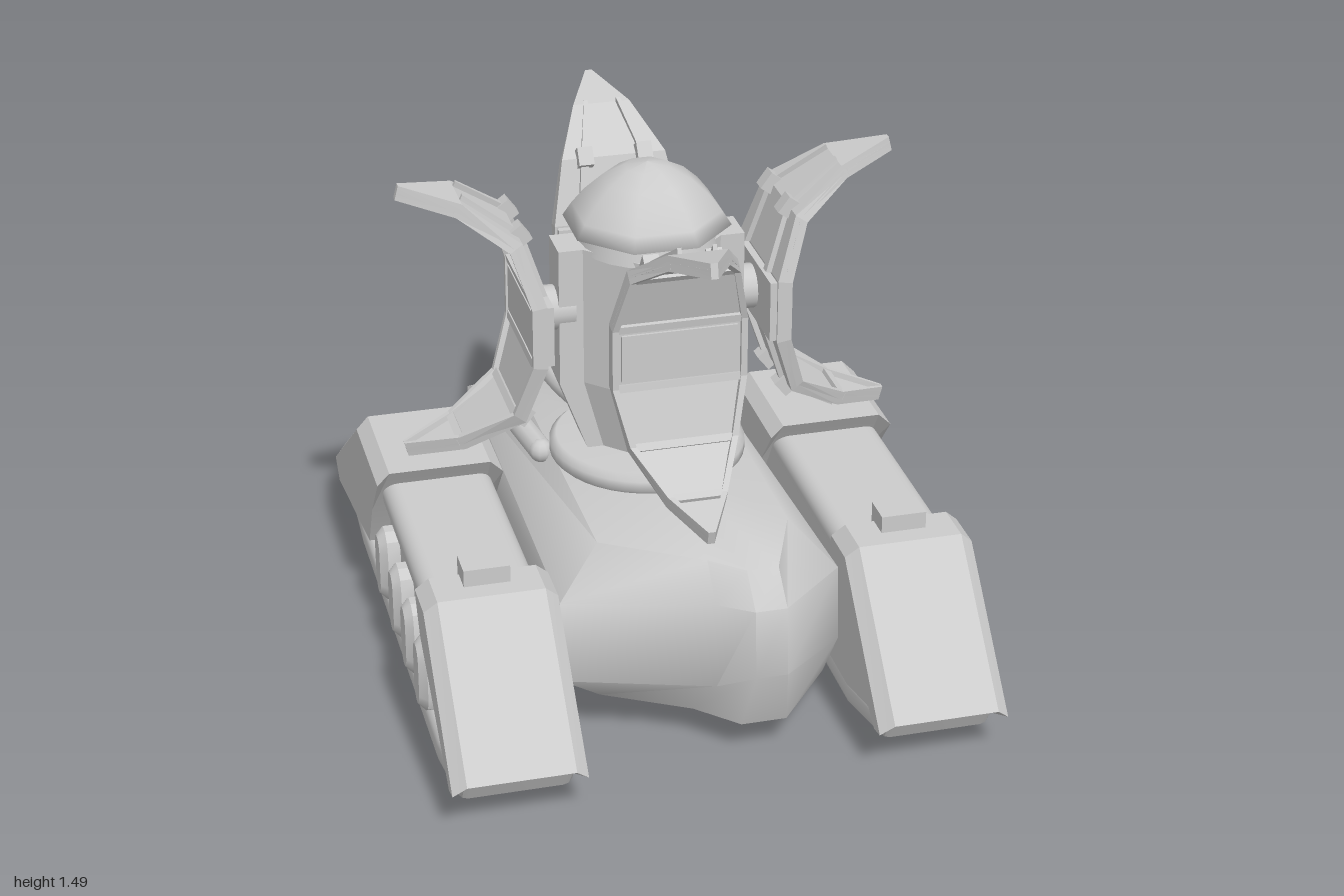
import * as THREE from 'three';
import { toCreasedNormals, mergeVertices } from 'three/addons/utils/BufferGeometryUtils.js';
import { RoundedBoxGeometry } from 'three/addons/geometries/RoundedBoxGeometry.js';

const mat = new THREE.MeshStandardMaterial({ color: 0xcccccc });

function add(parent, name, geo, x = 0, y = 0, z = 0) {
  const m = new THREE.Mesh(geo, mat);
  m.name = name;
  m.position.set(x, y, z);
  parent.add(m);
  return m;
}

// Closed loft through rings of [x, y, z] corners, turned outwards by its signed volume.
function loft(rings, crease = 0.4) {
  const n = rings[0].length, pos = rings.flat(2), idx = [];
  rings.slice(1).forEach((_, i) => {
    for (let j = 0; j < n; j++) {
      const a = i * n + j, b = i * n + (j + 1) % n;
      idx.push(a, b, b + n, a, b + n, a + n);
    }
  });
  const cap = (k, flip) => {
    const c = pos.length / 3, ring = rings[k];
    for (let d = 0; d < 3; d++) pos.push(ring.reduce((s, p) => s + p[d], 0) / n);
    for (let j = 0; j < n; j++) {
      const a = k * n + j, b = k * n + (j + 1) % n;
      idx.push(c, flip ? b : a, flip ? a : b);
    }
  };
  cap(0, true);
  cap(rings.length - 1, false);
  const v = i => new THREE.Vector3(pos[3 * i], pos[3 * i + 1], pos[3 * i + 2]);
  let volume = 0;
  for (let i = 0; i < idx.length; i += 3) volume += v(idx[i]).dot(v(idx[i + 1]).cross(v(idx[i + 2])));
  if (volume < 0) idx.reverse();
  const g = new THREE.BufferGeometry();
  g.setAttribute('position', new THREE.Float32BufferAttribute(pos, 3));
  g.setIndex(idx);
  return toCreasedNormals(g, crease);
}

// Side profile of [z, y] points extruded across x, centred on x = 0, with bevelled edges.
function slab(profile, width, bevel, segments = 1) {
  const shape = new THREE.Shape(profile.map(([z, y]) => new THREE.Vector2(-z, y)));
  const g = new THREE.ExtrudeGeometry(shape, {
    depth: width - 2 * bevel, bevelSize: bevel, bevelThickness: bevel, bevelOffset: -bevel, bevelSegments: segments,
  });
  g.translate(0, 0, bevel - width / 2).rotateY(Math.PI / 2);
  g.deleteAttribute('normal');
  g.deleteAttribute('uv');
  return toCreasedNormals(mergeVertices(g), 0.6);
}

// Track guard whose upper edges alone are chamfered
function guard(top, bottom) {
  const full = [...top, ...bottom];
  const chamfered = [...top.map(([z, y]) => [z * 0.98, y - 0.035]), ...bottom];
  return loft([[-0.187, chamfered], [-0.15, full], [0.15, full], [0.187, chamfered]]
    .map(([x, ring]) => ring.map(([z, y]) => [x, y, z])), 0.2);
}

// Track unit on side s (+1 left, -1 right)
function buildTrack(s) {
  const t = new THREE.Group();
  t.name = s > 0 ? 'leftTrack' : 'rightTrack';
  const x = s * 0.597;
  add(t, 'belt', slab([[0.96, 0.17], [0.91, 0.08], [0.62, 0.003], [-0.6, 0.003], [-0.87, 0.07], [-0.95, 0.17],
    [-0.84, 0.15], [-0.6, 0.1], [0.62, 0.1], [0.84, 0.15]], 0.325, 0.03, 3), x);
  add(t, 'sideWall', slab([[0.92, 0.14], [0.6, 0.06], [-0.6, 0.06], [-0.9, 0.14], [-0.4, 0.45], [0.58, 0.45]], 0.29, 0.01), s * 0.58);
  add(t, 'topRoll', new RoundedBoxGeometry(0.325, 0.1, 0.8, 4, 0.045), x, 0.435, 0.2);
  add(t, 'frontGuard', guard([[1, 0.175], [0.64, 0.54], [0.51, 0.54]], [[0.5, 0.49], [0.56, 0.39], [0.93, 0.13]]), x);
  add(t, 'rearGuard', guard([[-0.1, 0.54], [-0.47, 0.54], [-0.975, 0.185]], [[-0.89, 0.1], [-0.3, 0.21], [-0.22, 0.36]]), x);
  add(t, 'guardBlock', new THREE.BoxGeometry(0.13, 0.09, 0.09), x, 0.545, 0.535);
  // Long round-ended pods along the outer wall
  const outline = [];
  for (let i = 0; i < 12; i++) {
    const a = Math.PI * (i % 6) / 5, up = i < 6 ? 1 : -1;
    outline.push([up * 0.06 * Math.cos(a), 0.215 + up * (0.058 + 0.06 * Math.sin(a))]);
  }
  const pod = slab(outline, 0.1, 0.022);
  for (const z of [0.47, 0.27, 0.07, -0.15]) add(t, 'sidePod', pod, s * 0.735, 0, z);
  return t;
}

// Petal shield: [reach, height, half width] sections from lower tip to upper tip
const sections = [[0.71, 0.67, 0.01], [0.56, 0.71, 0.085], [0.405, 0.805, 0.155], [0.35, 0.975, 0.192],
  [0.35, 1.16, 0.192], [0.405, 1.335, 0.155], [0.55, 1.435, 0.085], [0.71, 1.475, 0.01]];
const normals = sections.map((_, i) => {
  const a = sections[Math.max(i - 1, 0)], b = sections[Math.min(i + 1, 7)];
  const l = Math.hypot(b[0] - a[0], b[1] - a[1]);
  return [(b[1] - a[1]) / l, -(b[0] - a[0]) / l];
});

// Strip along the petal: span(w) gives its lateral range, d0..d1 its depth
function strip(from, to, span, d0, d1) {
  const rings = [];
  for (let i = from; i <= to; i++) {
    const [r, y, w] = sections[i], [nr, ny] = normals[i], [a, b] = span(w);
    rings.push([[a, d0], [b, d0], [b, d1], [a, d1]].map(([z, d]) => [r + nr * d, y + ny * d, z]));
  }
  return loft(rings, 0.15);
}

function buildPetal() {
  const p = new THREE.Group();
  p.name = 'petalShield';
  add(p, 'plate', strip(0, 7, w => [-w, w], -0.018, 0.008));
  for (const s of [1, -1]) {
    add(p, 'rim', strip(0, 7, w => [s * Math.max(w - 0.018, 0), s * w], 0, 0.025));
    for (const [a, b] of [[1, 3], [4, 6]]) {
      add(p, 'backRib', strip(a, b, w => [s * w * 0.5, s * w * 0.64], -0.034, -0.01));
    }
  }
  for (let i = 1; i < 7; i++) {
    const [r, y, w] = sections[i], [nr, ny] = normals[i];
    const angle = Math.atan2(ny, nr);
    add(p, 'crossBar', new THREE.BoxGeometry(0.024, 0.022, 2 * w - 0.01), r + nr * 0.01, y + ny * 0.01).rotation.z = angle;
    if (i === 2 || i === 5) {
      for (const s of [1, -1]) {
        add(p, 'hinge', new THREE.BoxGeometry(0.05, 0.055, 0.045), r - nr * 0.02, y - ny * 0.02, s * w * 0.57).rotation.z = angle;
      }
    }
  }
  add(p, 'centreBlock', new THREE.BoxGeometry(0.05, 0.18, 0.37), 0.337, 1.0675);
  add(p, 'centrePanel', new THREE.BoxGeometry(0.02, 0.14, 0.33), 0.36, 1.0675);
  add(p, 'arm', new THREE.CylinderGeometry(0.065, 0.065, 0.12, 16).rotateZ(Math.PI / 2), 0.28, 1.07);
  return p;
}

// Hull with an offset nose, lofted upwards
function buildHull(parent) {
  const rings = [
    [[0.07, 0.11, 0.79], [0.2, 0.11, 0.79], [0.37, 0.11, 0.58], [0.34, 0.11, -0.74], [0.2, 0.14, -0.84],
      [-0.2, 0.14, -0.84], [-0.34, 0.11, -0.74], [-0.28, 0.12, 0.56], [-0.04, 0.11, 0.68]],
    [[0.09, 0.3, 0.86], [0.18, 0.3, 0.86], [0.4, 0.24, 0.62], [0.38, 0.24, -0.84], [0.22, 0.28, -0.95],
      [-0.22, 0.28, -0.95], [-0.38, 0.24, -0.84], [-0.4, 0.22, 0.62], [0, 0.24, 0.78]],
    [[0.09, 0.5, 0.84], [0.18, 0.5, 0.84], [0.4, 0.46, 0.6], [0.37, 0.41, -0.84], [0.2, 0.38, -0.94],
      [-0.2, 0.38, -0.94], [-0.37, 0.41, -0.84], [-0.4, 0.46, 0.6], [0, 0.49, 0.76]],
    [[0.09, 0.58, 0.75], [0.18, 0.58, 0.75], [0.28, 0.58, 0.5], [0.28, 0.58, -0.5], [0.2, 0.57, -0.58],
      [-0.2, 0.57, -0.58], [-0.28, 0.58, -0.5], [-0.27, 0.58, 0.5], [0, 0.58, 0.67]],
  ];
  add(parent, 'hull', loft(rings, 0.9));
  // Raised plate on the sloping rear deck
  const plate = d => [[0.25, 0.56 + d, -0.5], [0.33, 0.46 + d, -0.74], [0.19, 0.4 + d, -0.91],
    [-0.19, 0.4 + d, -0.91], [-0.33, 0.46 + d, -0.74], [-0.25, 0.56 + d, -0.5]];
  add(parent, 'rearDeckPlate', loft([plate(-0.03), plate(0.02)]));
}

function buildTurret() {
  const t = new THREE.Group();
  t.name = 'turret';
  add(t, 'turretRing', new THREE.LatheGeometry([[0.2, 0.56], [0.265, 0.57], [0.285, 0.59], [0.285, 0.62], [0.265, 0.638], [0, 0.638]]
    .map(p => new THREE.Vector2(...p)), 40));
  // Tower with four ribs behind the petals and diagonal faces between them
  const section = (y, reach, core) => {
    const quarter = [[reach, -0.06], [reach, 0.06], [core, 0.06]];
    return [0, 1, 2, 3].flatMap(k => quarter.map(([x, z]) => {
      const c = [1, 0, -1, 0][k], s = [0, 1, 0, -1][k];
      return [c * x - s * z, y, s * x + c * z];
    }).concat([[[0.06, core], [-core, 0.06], [-0.06, -core], [core, -0.06]][k]].map(([x, z]) => [x, y, z])));
  };
  add(t, 'tower', loft([section(0.62, 0.185, 0.14), section(0.85, 0.27, 0.2), section(1.265, 0.27, 0.2)], 0.1));
  add(t, 'neck', new THREE.CylinderGeometry(0.18, 0.2, 0.08, 24), 0, 1.29);
  // Eight-sided cap with flats towards the petals
  add(t, 'dome', new THREE.LatheGeometry([[0, 1.3], [0.2, 1.3], [0.241, 1.31], [0.215, 1.35], [0.178, 1.395], [0.128, 1.44], [0.065, 1.475], [0, 1.488]]
    .map(p => new THREE.Vector2(...p)), 8, Math.PI / 8));
  for (let k = 0; k < 4; k++) {
    const p = buildPetal();
    p.rotation.y = k * Math.PI / 2;
    t.add(p);
  }
  return t;
}

export function createModel() {
  const g = new THREE.Group();
  g.name = 'petalTank';
  buildHull(g);
  for (const s of [1, -1]) g.add(buildTrack(s));
  g.add(buildTurret());

  // Hoses from the turret to the stern
  const hoses = [
    [[-0.3, 0.57, -0.08], [-0.335, 0.58, -0.3], [-0.34, 0.58, -0.48], [-0.265, 0.6, -0.6], [-0.235, 0.57, -0.78],
      [-0.14, 0.5, -0.89], [-0.05, 0.38, -0.955], [0, 0.25, -0.96]],
    [[-0.14, 0.65, -0.18], [-0.19, 0.66, -0.36], [-0.19, 0.655, -0.52], [-0.07, 0.63, -0.62], [-0.01, 0.58, -0.76],
      [0, 0.49, -0.88], [0, 0.37, -0.955], [0, 0.24, -0.96]],
  ];
  for (const path of hoses) {
    const curve = new THREE.CatmullRomCurve3(path.map(p => new THREE.Vector3(...p)));
    add(g, 'hose', new THREE.TubeGeometry(curve, 60, 0.036, 10));
    for (const p of [path[0], path[7]]) add(g, 'hoseEnd', new THREE.SphereGeometry(0.036, 10, 8), ...p);
  }

  // Cluster of tilted exhaust pipes
  for (const [x, z] of [[0.115, -0.82], [0.18, -0.775], [0.115, -0.735]]) {
    const pipe = add(g, 'exhaustPipe', toCreasedNormals(new THREE.CylinderGeometry(0.032, 0.032, 0.17, 8), 0.3), x, 0.575, z);
    pipe.rotation.set(-0.5, 0, -0.1);
    add(pipe, 'exhaustCap', toCreasedNormals(new THREE.CylinderGeometry(0.02, 0.032, 0.015, 8), 0.3), 0, 0.09);
  }
  return g;
}
